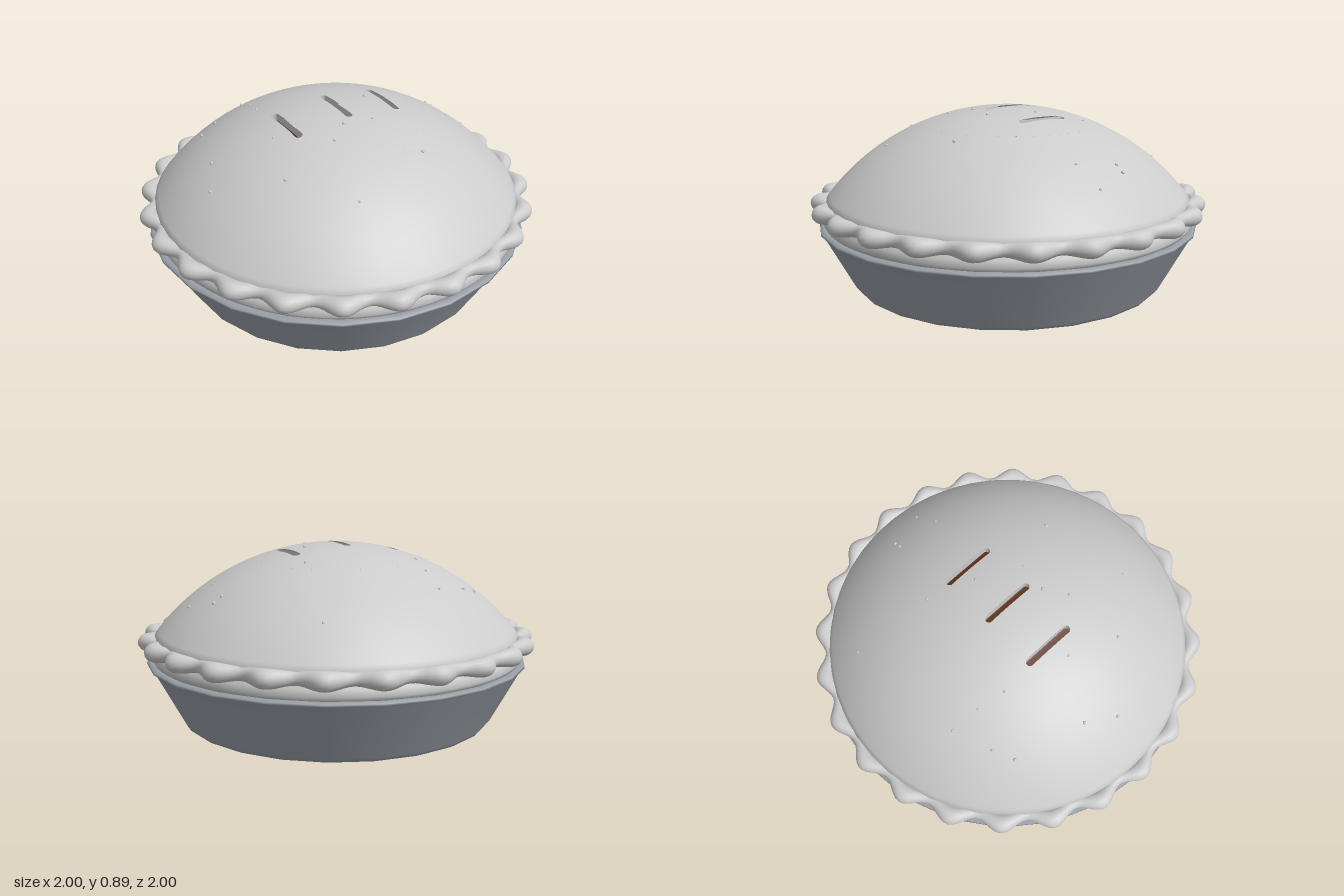
import * as THREE from 'three';
import { mergeGeometries } from 'three/addons/utils/BufferGeometryUtils.js';

const SPHERE_R = 1.165, SPHERE_Y = -0.275, PATCH_R = 0.44;
const SLOT_X = [-0.275, 0, 0.275], SLOT_HALF = 0.118, SLOT_R = 0.018, SLOT_DEPTH = 0.04;
const CRIMPS = 24;

const domeY = (x, z) => SPHERE_Y + Math.sqrt(SPHERE_R ** 2 - x * x - z * z);
const v2 = (x, y) => new THREE.Vector2(x, y);

// Outline of a slot with round ends, in plan
function slotPoints(cx) {
  const pts = [];
  for (const end of [1, -1]) {
    for (let i = 0; i <= 8; i++) {
      const a = (i / 8) * Math.PI + (end > 0 ? 0 : Math.PI);
      pts.push(v2(cx + SLOT_R * Math.cos(a), end * SLOT_HALF + SLOT_R * Math.sin(a)));
    }
  }
  return pts;
}

// Middle of the dome: flat disc with slots, subdivided and lifted onto the sphere
function domePatch() {
  const outline = [];
  for (let i = 0; i < 96; i++) {
    const a = (i / 96) * Math.PI * 2;
    outline.push(v2(PATCH_R * Math.cos(a), PATCH_R * Math.sin(a)));
  }
  const shape = new THREE.Shape(outline);
  shape.holes = SLOT_X.map((x) => new THREE.Path(slotPoints(x)));
  const flat = new THREE.ShapeGeometry(shape).toNonIndexed().attributes.position;
  const pos = [], normal = [];
  const lift = (p) => {
    const x = p.x, z = -p.y, y = domeY(x, z);
    pos.push(x, y, z);
    normal.push(x / SPHERE_R, (y - SPHERE_Y) / SPHERE_R, z / SPHERE_R);
  };
  const split = (a, b, c, level) => {
    if (level === 0) return [a, b, c].forEach(lift);
    const ab = a.clone().lerp(b, 0.5), bc = b.clone().lerp(c, 0.5), ca = c.clone().lerp(a, 0.5);
    split(a, ab, ca, level - 1);
    split(ab, b, bc, level - 1);
    split(ca, bc, c, level - 1);
    split(ab, bc, ca, level - 1);
  };
  for (let i = 0; i < flat.count; i += 3) {
    split(...[0, 1, 2].map((k) => v2(flat.getX(i + k), flat.getY(i + k))), 3);
  }
  const g = new THREE.BufferGeometry();
  g.setAttribute('position', new THREE.Float32BufferAttribute(pos, 3));
  g.setAttribute('normal', new THREE.Float32BufferAttribute(normal, 3));
  return g;
}

// Vertical walls of one slot
function slotWalls(cx) {
  const pts = slotPoints(cx), pos = [], index = [], n = pts.length;
  pts.forEach((p) => {
    const y = domeY(p.x, p.y);
    pos.push(p.x, y, p.y, p.x, y - SLOT_DEPTH, p.y);
  });
  for (let i = 0; i < n; i++) {
    const a = 2 * i, b = 2 * ((i + 1) % n);
    index.push(a, b, a + 1, b, b + 1, a + 1);
  }
  const g = new THREE.BufferGeometry();
  g.setAttribute('position', new THREE.Float32BufferAttribute(pos, 3));
  g.setIndex(index);
  g.computeVertexNormals();
  return g;
}

// Brown floor of one slot, following the dome
function slotFloor(cx) {
  const g = new THREE.ShapeGeometry(new THREE.Shape(slotPoints(cx)));
  g.rotateX(-Math.PI / 2);
  const p = g.attributes.position;
  for (let i = 0; i < p.count; i++) p.setY(i, domeY(p.getX(i), p.getZ(i)) - SLOT_DEPTH + 0.002);
  g.computeVertexNormals();
  return g;
}

// Ring whose section swells and shrinks to make the crimps
function crimpedRing() {
  const g = new THREE.TorusGeometry(1, 0.5, 16, CRIMPS * 12);
  g.rotateX(Math.PI / 2);
  const p = g.attributes.position;
  for (let i = 0; i < p.count; i++) {
    const x = p.getX(i), z = p.getZ(i), r = Math.hypot(x, z), a = Math.atan2(z, x);
    const wave = Math.cos(CRIMPS * a);
    const radius = 0.932 + 0.019 * wave + (r - 1) * 2 * (0.039 + 0.01 * wave);
    p.setXYZ(i, radius * Math.cos(a), 0.413 + p.getY(i) * 2 * (0.037 + 0.007 * wave), radius * Math.sin(a));
  }
  g.computeVertexNormals();
  // Weld normals along the torus seams
  const n = g.attributes.normal, w = CRIMPS * 12 + 1;
  const weld = (a, b) => {
    const s = new THREE.Vector3().fromBufferAttribute(n, a);
    s.add(new THREE.Vector3().fromBufferAttribute(n, b)).normalize();
    n.setXYZ(a, s.x, s.y, s.z);
    n.setXYZ(b, s.x, s.y, s.z);
  };
  for (let j = 0; j <= 16; j++) weld(j * w, j * w + w - 1);
  for (let i = 0; i < w; i++) weld(i, 16 * w + i);
  return g;
}

export function createModel() {
  const pie = new THREE.Group();
  pie.name = 'pie';
  const crust = new THREE.MeshStandardMaterial({ color: 0xcccccc, side: THREE.DoubleSide });
  const tinMat = new THREE.MeshStandardMaterial({ color: 0x9aa0a8, side: THREE.DoubleSide });
  const filling = new THREE.MeshStandardMaterial({ color: 0x5a3018, side: THREE.DoubleSide });
  const add = (name, geometry, material) => {
    const m = new THREE.Mesh(geometry, material);
    m.name = name;
    pie.add(m);
    return m;
  };

  // Faceted tin with flared wall and narrow lip
  add('tin', new THREE.LatheGeometry([
    v2(0, 0), v2(0.765, 0), v2(0.785, 0.006), v2(0.8, 0.025), v2(0.945, 0.298),
    v2(0.96, 0.306), v2(0.958, 0.316), v2(0.94, 0.324), v2(0.9, 0.315),
  ], 24), tinMat);

  // Lower crust layer between tin and crimped edge
  add('lowerCrust', new THREE.LatheGeometry([
    v2(0.88, 0.315), v2(0.925, 0.32), v2(0.936, 0.34), v2(0.93, 0.37), v2(0.91, 0.4),
  ], 72), crust);

  add('crimpedEdge', crimpedRing(), crust);

  // Domed lid: outer band plus slotted middle
  const band = [];
  for (let i = 0; i <= 24; i++) {
    const r = 0.918 + (PATCH_R - 0.918) * (i / 24);
    band.push(v2(r, domeY(r, 0)));
  }
  add('lidBand', new THREE.LatheGeometry([v2(0.915, 0.4), ...band], 96), crust);
  add('lidCentre', domePatch(), crust);

  // Steam vents
  add('ventWalls', mergeGeometries(SLOT_X.map(slotWalls)), crust);
  add('ventFilling', mergeGeometries(SLOT_X.map(slotFloor)), filling);

  // Sugar grains scattered on the lid
  const grains = [
    [0.39, -0.64], [-0.24, -0.575], [-0.43, -0.5], [-0.53, -0.45], [-0.26, -0.43], [-0.29, -0.29],
    [-0.63, -0.1], [-0.71, 0.05], [-0.37, 0.04], [0.29, -0.25], [0.66, -0.13], [0.7, -0.13],
    [0.63, 0.09], [0.76, 0.06], [0.19, -0.03], [-0.06, 0.17], [0.09, 0.19], [-0.16, 0.25],
    [-0.45, 0.3], [0.2, 0.45], [-0.23, 0.57],
  ];
  grains.forEach(([x, z], i) => {
    const grain = add('sugarGrain', new THREE.IcosahedronGeometry(0.006 + 0.001 * (i % 4), 1), crust);
    grain.position.set(x, domeY(x, z) + 0.001, z);
  });
  return pie;
}
